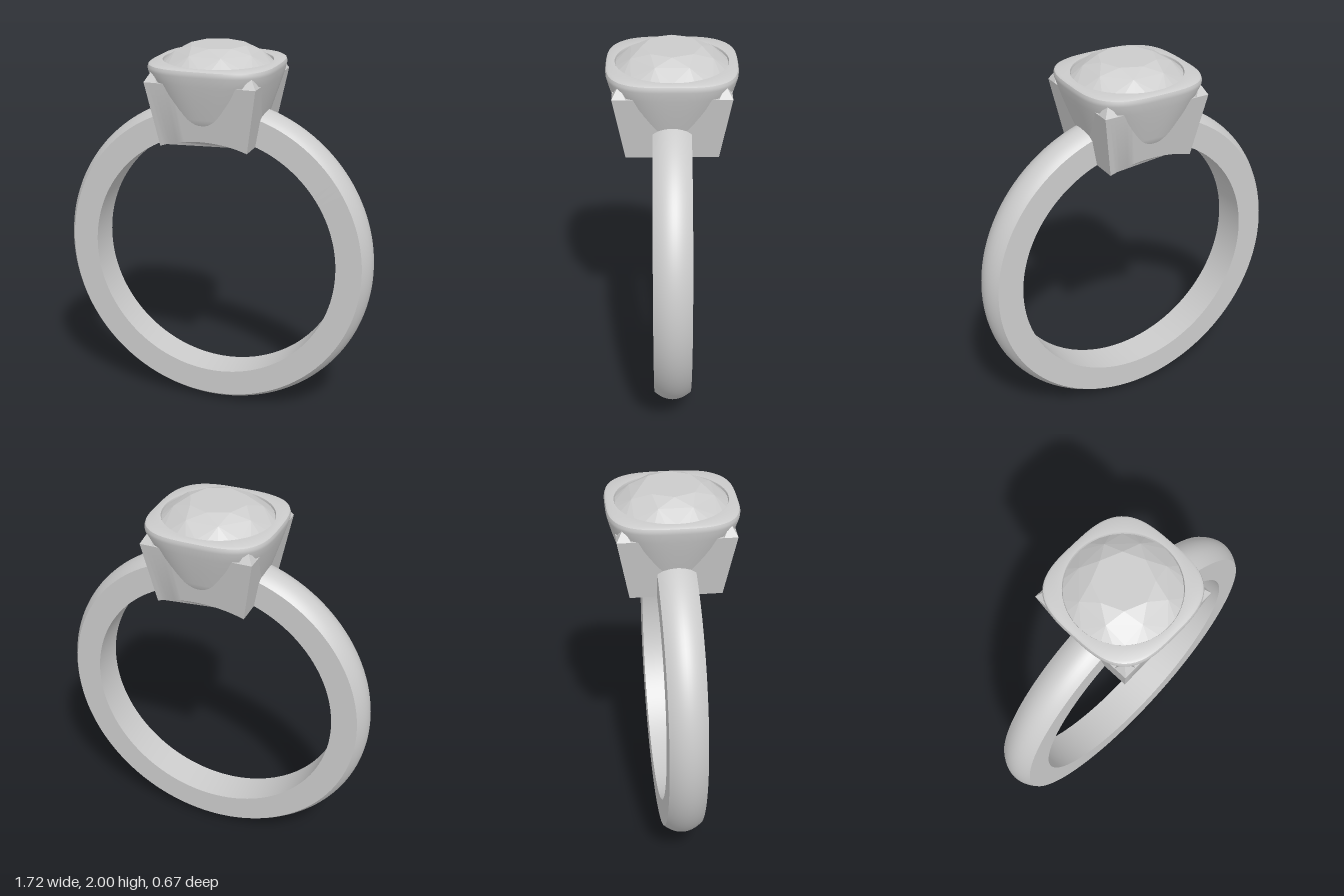
import * as THREE from 'three';
import { toCreasedNormals } from 'three/addons/utils/BufferGeometryUtils.js';
import { ConvexGeometry } from 'three/addons/geometries/ConvexGeometry.js';

const CENTER = 0.86, INNER = 0.68, HALF_WIDTH = 0.097;
const BASE = 1.5, POST_TOP = 1.84, FOOT = 0.235, SHOULDER = 0.295;

const metal = new THREE.MeshStandardMaterial({ color: 0xcccccc });
const thinMetal = new THREE.MeshStandardMaterial({ color: 0xcccccc, side: THREE.DoubleSide });
const gem = new THREE.MeshStandardMaterial({ color: 0xcccccc, flatShading: true });

function part(name, geometry, material = metal) {
  const mesh = new THREE.Mesh(geometry, material);
  mesh.name = name;
  return mesh;
}

// Domed band, open where the stone's culet passes through the head
function makeBand() {
  const profile = [];
  for (let i = 0; i <= 12; i++) {
    const t = -1 + i / 6;
    profile.push(new THREE.Vector2(0.82 + 0.04 * (1 - t * t), t * HALF_WIDTH));
  }
  profile.push(new THREE.Vector2(INNER, HALF_WIDTH), new THREE.Vector2(INNER, -HALF_WIDTH), profile[0].clone());
  const gap = 0.13;
  const band = new THREE.Group();
  band.name = 'band';
  const lathe = new THREE.LatheGeometry(profile, 128, gap, Math.PI * 2 - 2 * gap);
  lathe.rotateX(-Math.PI / 2);
  band.add(part('bandHoop', toCreasedNormals(lathe, 0.5)));
  for (const side of [-1, 1]) {
    const cap = new THREE.ShapeGeometry(new THREE.Shape(profile));
    cap.rotateY(-Math.PI / 2); // radius now along z
    cap.applyMatrix4(new THREE.Matrix4().makeBasis(
      new THREE.Vector3(1, 0, 0), new THREE.Vector3(0, 0, 1), new THREE.Vector3(0, 1, 0)));
    cap.rotateZ(side * gap);
    band.add(part('bandEnd', cap, thinMetal));
  }
  band.position.y = CENTER;
  return band;
}

// Square outline whose long edges are divided so they can follow the finger curve
function squareOutline(half) {
  const points = [];
  const n = 24;
  for (let i = 0; i <= n; i++) points.push(new THREE.Vector2(-half + (2 * half * i) / n, -half));
  for (let i = 0; i <= n; i++) points.push(new THREE.Vector2(half - (2 * half * i) / n, half));
  return points;
}

// Flared square frame with an arched underside
function makeFrame() {
  const shape = new THREE.Shape(squareOutline(FOOT));
  shape.holes.push(new THREE.Path(squareOutline(FOOT - 0.045)));
  const g = new THREE.ExtrudeGeometry(shape, { depth: POST_TOP - BASE, bevelEnabled: false });
  g.rotateX(-Math.PI / 2);
  const p = g.attributes.position;
  for (let i = 0; i < p.count; i++) {
    const x = p.getX(i);
    const y = p.getY(i) < 0.01 ? CENTER + Math.sqrt(INNER * INNER - x * x) : POST_TOP;
    const flare = 1 + ((y - BASE) / (POST_TOP - BASE)) * (SHOULDER / FOOT - 1);
    p.setXYZ(i, x * flare, y, p.getZ(i) * flare);
  }
  return part('headFrame', toCreasedNormals(g, 0.5));
}

// Cushion-shaped bowl from superellipse loops: [half size, height, roundness]
function makeBezel() {
  const rings = [
    [0.06, 1.57, 2], [0.16, 1.575, 2], [0.22, 1.585, 2.2], [0.25, 1.605, 2.3],
    [0.268, 1.66, 2.45], [0.286, 1.72, 2.6], [0.304, 1.78, 2.8], [0.32, 1.84, 3],
    [0.332, 1.89, 3.2], [0.333, 1.905, 3.2], [0.329, 1.918, 3.2], [0.318, 1.925, 3.2],
    [0.287, 1.925, 2], [0.285, 1.92, 2], [0.285, 1.87, 2],
  ];
  const n = 96, positions = [], index = [];
  rings.forEach(([r, y, e], j) => {
    for (let i = 0; i < n; i++) {
      const a = (i / n) * Math.PI * 2, c = Math.cos(a), s = Math.sin(a);
      const k = r / Math.pow(Math.abs(c) ** e + Math.abs(s) ** e, 1 / e);
      positions.push(k * c, y, k * s);
      if (j === 0) continue;
      const a0 = (j - 1) * n + i, a1 = (j - 1) * n + ((i + 1) % n);
      index.push(a0, a0 + n, a1, a1, a0 + n, a1 + n);
    }
  });
  const g = new THREE.BufferGeometry();
  g.setAttribute('position', new THREE.Float32BufferAttribute(positions, 3));
  g.setIndex(index);
  return part('bezel', toCreasedNormals(g, 0.7), thinMetal);
}

// Faceted round stone: table, crown, girdle and pavilion
function makeStone() {
  const points = [new THREE.Vector3(0, 1.56, 0)];
  const ring = (r, y, n, offset) => {
    for (let i = 0; i < n; i++) {
      const a = ((i + offset) / n) * Math.PI * 2;
      points.push(new THREE.Vector3(r * Math.sin(a), y, r * Math.cos(a)));
    }
  };
  ring(0.15, 2.0, 8, 0);
  ring(0.222, 1.968, 8, 0.5);
  ring(0.284, 1.915, 32, 0);
  ring(0.284, 1.9, 32, 0);
  return part('stone', new ConvexGeometry(points), gem);
}

export function createModel() {
  const model = new THREE.Group();
  model.name = 'ring';
  model.add(makeBand());

  const head = new THREE.Group();
  head.name = 'head';
  head.add(makeFrame(), makeBezel(), makeStone());

  // Pointed corner claws
  const half = 0.035;
  for (const sx of [-1, 1]) for (const sz of [-1, 1]) {
    const g = new THREE.ConeGeometry(half * Math.SQRT2, 0.06, 4).toNonIndexed();
    g.rotateY(Math.PI / 4);
    g.computeVertexNormals();
    const claw = part('clawTip', g);
    claw.position.set(sx * (SHOULDER - half), POST_TOP + 0.03, sz * (SHOULDER - half));
    head.add(claw);
  }

  // Small collar beneath the stone
  const collar = new THREE.LatheGeometry(
    [[0.045, 1.53], [0.065, 1.53], [0.065, 1.6], [0.045, 1.6], [0.045, 1.53]].map(([x, y]) => new THREE.Vector2(x, y)), 32);
  head.add(part('culetCollar', toCreasedNormals(collar, 0.6)));
  model.add(head);
  return model;
}
